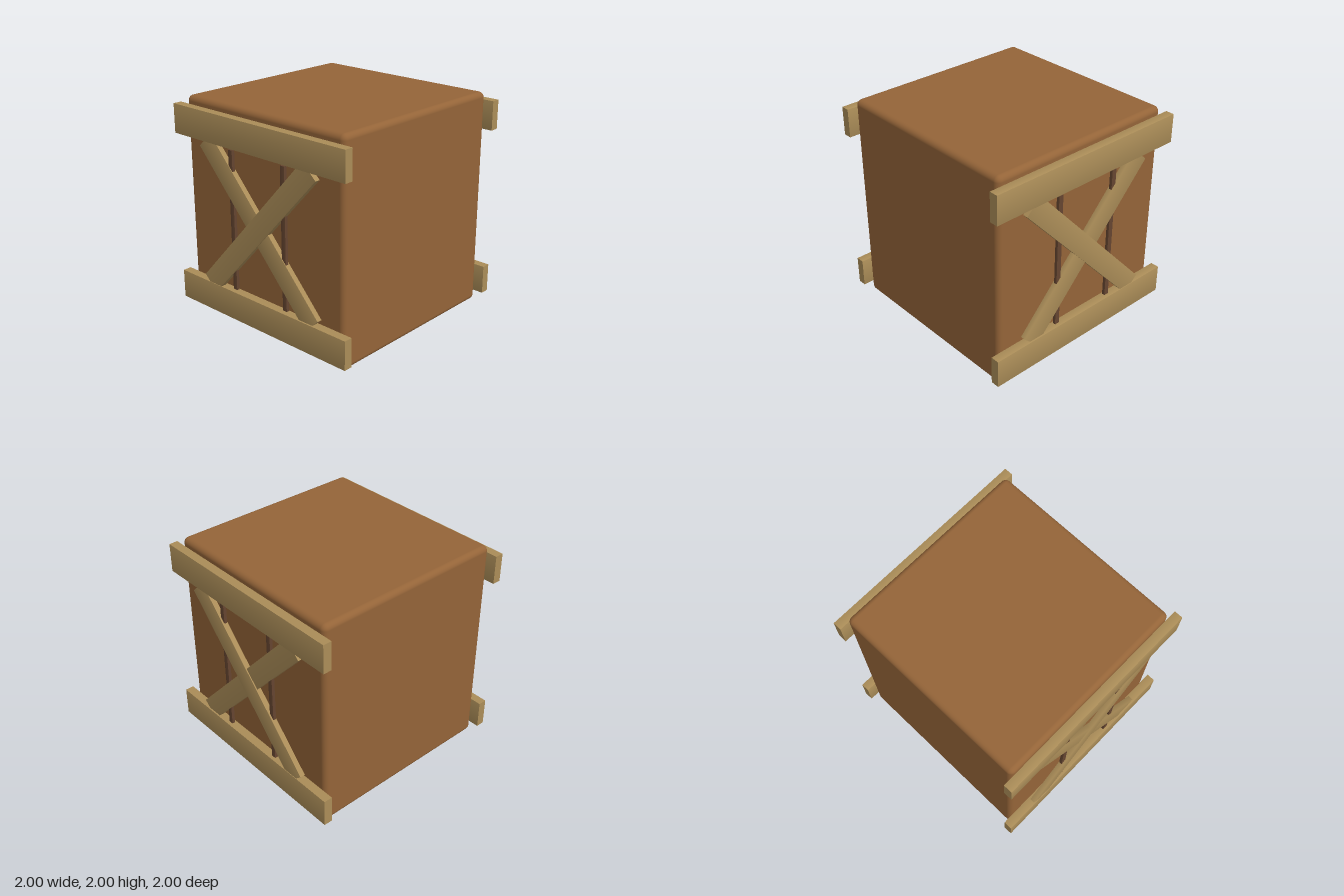
import * as THREE from 'three';
import { RoundedBoxGeometry } from 'three/addons/geometries/RoundedBoxGeometry.js';

const material = (name, color) => new THREE.MeshStandardMaterial({ name, color });

// Plank running along x; normals lean outwards so its long edges shade softly.
function plankGeometry(length, height, depth) {
  const geometry = new THREE.BoxGeometry(length, height, depth);
  const { position, normal } = geometry.attributes;
  const n = new THREE.Vector3();
  for (let i = 0; i < position.count; i++) {
    n.fromBufferAttribute(normal, i);
    if (Math.abs(n.x) > 0.5) continue; // flat plank ends
    n.y += 0.25 * Math.sign(position.getY(i));
    n.z += 0.25 * Math.sign(position.getZ(i));
    n.normalize();
    normal.setXYZ(i, n.x, n.y, n.z);
  }
  return geometry;
}

export function createModel() {
  const crate = new THREE.Group();
  crate.name = 'crate';
  const bodyWood = material('bodyWood', 0x946438);
  const plankWood = material('plankWood', 0xab8d58);
  const darkWood = material('darkWood', 0x654530);

  // Rounded main box
  const body = new THREE.Mesh(new RoundedBoxGeometry(1.84, 2, 1.84, 4, 0.05), bodyWood);
  body.name = 'body';
  body.position.y = 1;
  crate.add(body);

  const railShape = plankGeometry(2, 0.265, 0.08);
  const braceShape = plankGeometry(1.82, 0.194, 0.047);
  const slatShape = plankGeometry(1.275, 0.045, 0.028);

  // Front and back frames mirror each other in z
  for (const side of [1, -1]) {
    const frame = new THREE.Group();
    frame.name = side > 0 ? 'frontFrame' : 'backFrame';
    crate.add(frame);

    const add = (name, geometry, mat, x, y, z, angle = 0) => {
      const mesh = new THREE.Mesh(geometry, mat);
      mesh.name = name;
      mesh.position.set(x, y, side * z);
      mesh.rotation.z = angle;
      frame.add(mesh);
    };

    // Horizontal rails
    add('lowerRail', railShape, plankWood, 0, 0.213, 0.96);
    add('upperRail', railShape, plankWood, 0, 1.792, 0.96);

    // Crossed braces, the rising one outermost
    const slope = Math.atan(1.08);
    add('risingBrace', braceShape, plankWood, 0, 1.003, 0.972, slope);
    add('fallingBrace', braceShape, plankWood, 0, 1.003, 0.962, -slope);

    // Thin upright slats behind the braces
    for (const x of [-0.308, 0.308]) {
      add('slat', slatShape, darkWood, x, 1.003, 0.966, Math.PI / 2);
    }
  }
  return crate;
}
